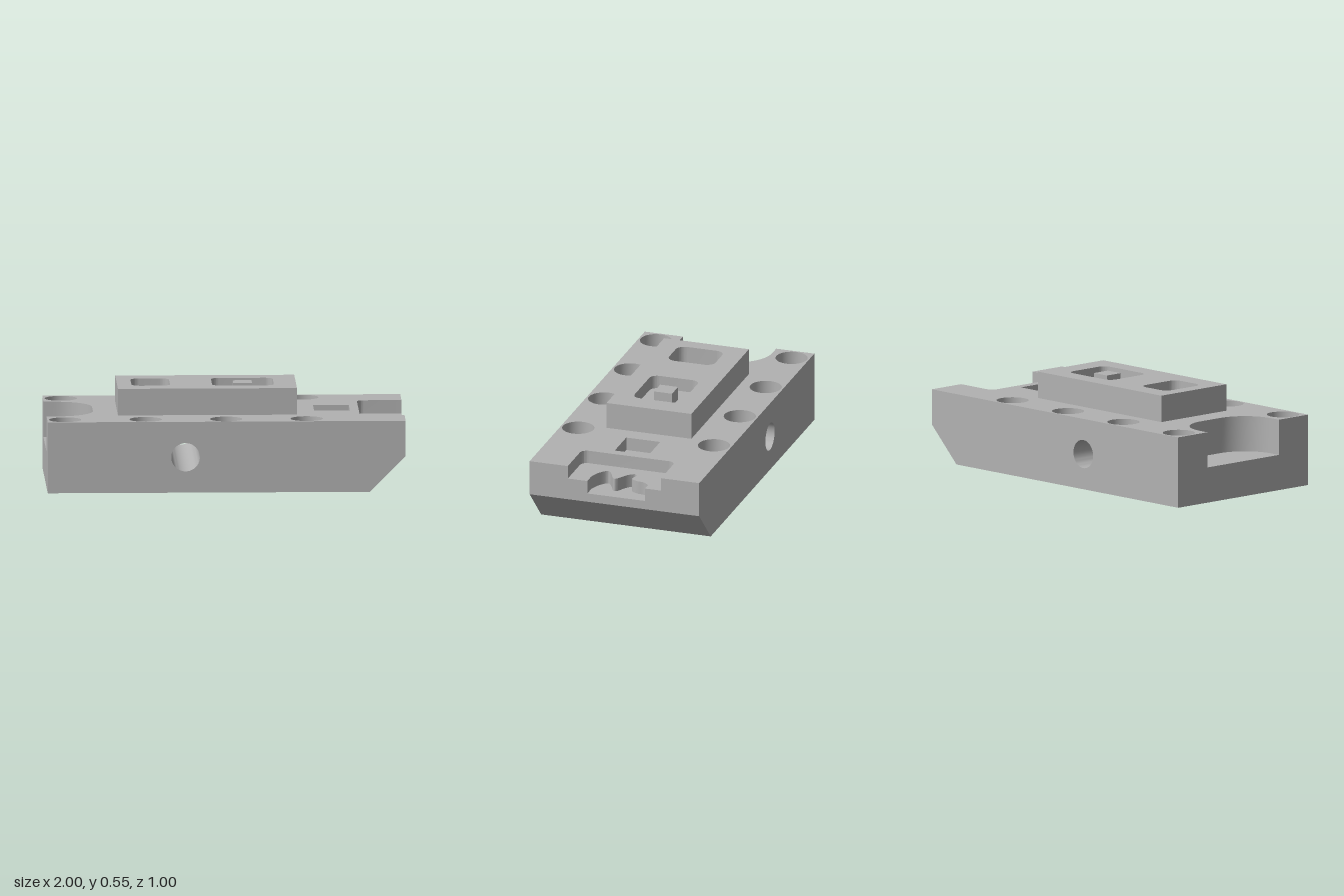
import * as THREE from 'three';
import { toCreasedNormals } from 'three/addons/utils/BufferGeometryUtils.js';

const PI = Math.PI;
const V = (x, y) => new THREE.Vector2(x, y);

// Plan outlines use (x, w) with w = -z; solid lies to the left of a path.
function arc(cx, cy, r, a0, a1, n = 12) {
  return Array.from({ length: n + 1 }, (_, i) => {
    const a = a0 + (a1 - a0) * i / n;
    return V(cx + r * Math.cos(a), cy + r * Math.sin(a));
  });
}

function rect(x0, x1, w0, w1, r = 0) {
  if (!r) return [V(x0, w0), V(x1, w0), V(x1, w1), V(x0, w1)];
  return [
    ...arc(x0 + r, w0 + r, r, PI, 1.5 * PI), ...arc(x1 - r, w0 + r, r, 1.5 * PI, 2 * PI),
    ...arc(x1 - r, w1 - r, r, 0, PI / 2), ...arc(x0 + r, w1 - r, r, PI / 2, PI),
  ];
}

const circle = (x, w, r) => arc(x, w, r, 0, 2 * PI, 48).slice(0, -1);
const reversed = (pts) => [...pts].reverse();

function face(pts, holes = []) {
  const shape = new THREE.Shape(pts);
  holes.forEach((h) => shape.holes.push(new THREE.Path(h)));
  return new THREE.ShapeGeometry(shape);
}

const level = (y, pts, holes) => face(pts, holes).rotateX(-PI / 2).translate(0, y, 0);

// Vertical wall following a plan outline
function wall(pts, y0, y1, closed = true) {
  const pos = [];
  const count = closed ? pts.length : pts.length - 1;
  for (let i = 0; i < count; i++) {
    const p = pts[i], q = pts[(i + 1) % pts.length];
    pos.push(p.x, y0, -p.y, q.x, y0, -q.y, q.x, y1, -q.y);
    pos.push(p.x, y0, -p.y, q.x, y1, -q.y, p.x, y1, -p.y);
  }
  const geo = new THREE.BufferGeometry();
  geo.setAttribute('position', new THREE.Float32BufferAttribute(pos, 3));
  geo.computeVertexNormals();
  return toCreasedNormals(geo, 0.6);
}

export function createModel() {
  const group = new THREE.Group();
  group.name = 'machinedBlock';
  const metal = new THREE.MeshStandardMaterial({ color: 0xb2b2b2, side: THREE.DoubleSide });
  metal.name = 'plainGrey';
  const add = (name, geo) => {
    const mesh = new THREE.Mesh(geo, metal);
    mesh.name = name;
    group.add(mesh);
  };

  const TOP = 0.4, BOSS = 0.55;

  // Open outlines cut into the two ends
  const notch = [V(-1, 0.275), ...arc(-0.935, 0.075, 0.2, PI / 2, 0),
    ...arc(-0.935, -0.075, 0.2, 0, -PI / 2), V(-1, -0.275)];
  const step = [V(1, -0.275), ...arc(0.79, -0.235, 0.04, -PI / 2, -PI),
    ...arc(0.79, 0.235, 0.04, PI, PI / 2), V(1, 0.275)];
  const curve = new THREE.SplineCurve([
    V(0.93, -0.16), V(0.87, -0.14), V(0.823, -0.1), V(0.85, -0.07), V(0.912, -0.038),
    V(0.912, -0.015), V(0.85, 0.022), V(0.82, 0.06), V(0.845, 0.075), V(0.885, 0.065),
    V(0.91, 0.1), V(0.92, 0.15), V(0.95, 0.18)]);
  const wave = [V(1, -0.16), ...curve.getPoints(72), V(1, 0.18)];

  // Bolt hole layout
  const bolts = [];
  for (const x of [-0.9, -0.45, 0, 0.45]) for (const w of [-0.4, 0.4]) bolts.push([x, w]);
  const small = bolts.map(([x, w]) => circle(x, w, 0.055));
  const large = bolts.map(([x, w]) => circle(x, w, 0.09));

  // Block faces
  const bossRect = rect(-0.6, 0.4, -0.25, 0.25);
  const squareRect = rect(0.5, 0.7, -0.1, 0.1);
  add('blockTop', level(TOP, [V(-1, -0.5), V(1, -0.5), ...step, V(1, 0.5), V(-1, 0.5), ...notch],
    [bossRect, squareRect, ...large]));
  add('blockBottom', face(rect(-1, 0.8, -0.5, 0.5), small).rotateX(PI / 2));
  const side = (s) => face(
    [V(-s, 0), V(0.8 * s, 0), V(s, 0.2), V(s, TOP), V(-s, TOP)], [circle(-0.23 * s, 0.2, 0.08)]);
  add('blockFront', side(1).translate(0, 0, 0.5));
  add('blockBack', side(-1).translate(0, 0, 0.5).rotateY(PI));
  add('chamferedEdge', new THREE.PlaneGeometry(1, 0.2 * Math.SQRT2)
    .rotateY(PI / 2).rotateZ(-PI / 4).translate(0.9, 0.1, 0));
  add('steppedEnd', face([
    V(-0.5, 0.2), V(0.5, 0.2), V(0.5, TOP), V(0.275, TOP), V(0.275, 0.325), V(0.18, 0.325),
    V(0.18, 0.25), V(-0.16, 0.25), V(-0.16, 0.325), V(-0.275, 0.325), V(-0.275, TOP), V(-0.5, TOP),
  ]).rotateY(PI / 2).translate(1, 0, 0));
  add('notchedEnd', face([
    V(-0.5, 0), V(0.5, 0), V(0.5, TOP), V(0.275, TOP), V(0.275, 0.2),
    V(-0.275, 0.2), V(-0.275, TOP), V(-0.5, TOP),
  ]).rotateY(-PI / 2).translate(-1, 0, 0));

  // Rounded notch
  add('notchWall', wall(notch, 0.2, TOP, false));
  add('notchFloor', level(0.2, notch));

  // Stepped pocket with wavy lower recess
  add('stepWall', wall(step, 0.325, TOP, false));
  add('stepFloor', level(0.325, [...step, ...reversed(wave)]));
  add('waveWall', wall(wave, 0.25, 0.325, false));
  add('waveFloor', level(0.25, wave));

  // Closed pockets, optionally around an island
  const pocket = (name, pts, y0, y1, islands = []) => {
    add(name + 'Wall', wall(reversed(pts), y0, y1));
    add(name + 'Floor', level(y0, pts, islands));
  };
  pocket('squarePocket', squareRect, TOP - 0.075, TOP);

  // Raised boss with two pockets
  const pocketA = rect(-0.52, -0.305, -0.137, 0.137, 0.05);
  const pocketB = rect(-0.07, 0.275, -0.142, 0.142, 0.045);
  const island = rect(0.05, 0.155, -0.053, 0.053);
  add('bossSides', wall(bossRect, TOP, BOSS));
  add('bossTop', level(BOSS, bossRect, [pocketA, pocketB]));
  pocket('smallPocket', pocketA, BOSS - 0.1, BOSS);
  pocket('largePocket', pocketB, BOSS - 0.075, BOSS, [island]);
  add('islandSides', wall(island, BOSS - 0.075, BOSS));
  add('islandTop', level(BOSS, island));

  // Counterbored bolt holes
  bolts.forEach((_, i) => {
    pocket('counterbore', large[i], 0.2, TOP, [small[i]]);
    add('boltHole', wall(reversed(small[i]), 0, 0.2));
  });

  // Cross bore through the block
  add('crossBore', wall(reversed(circle(-0.23, 0.2, 0.08)), -0.5, 0.5).rotateX(PI / 2));

  return group;
}
